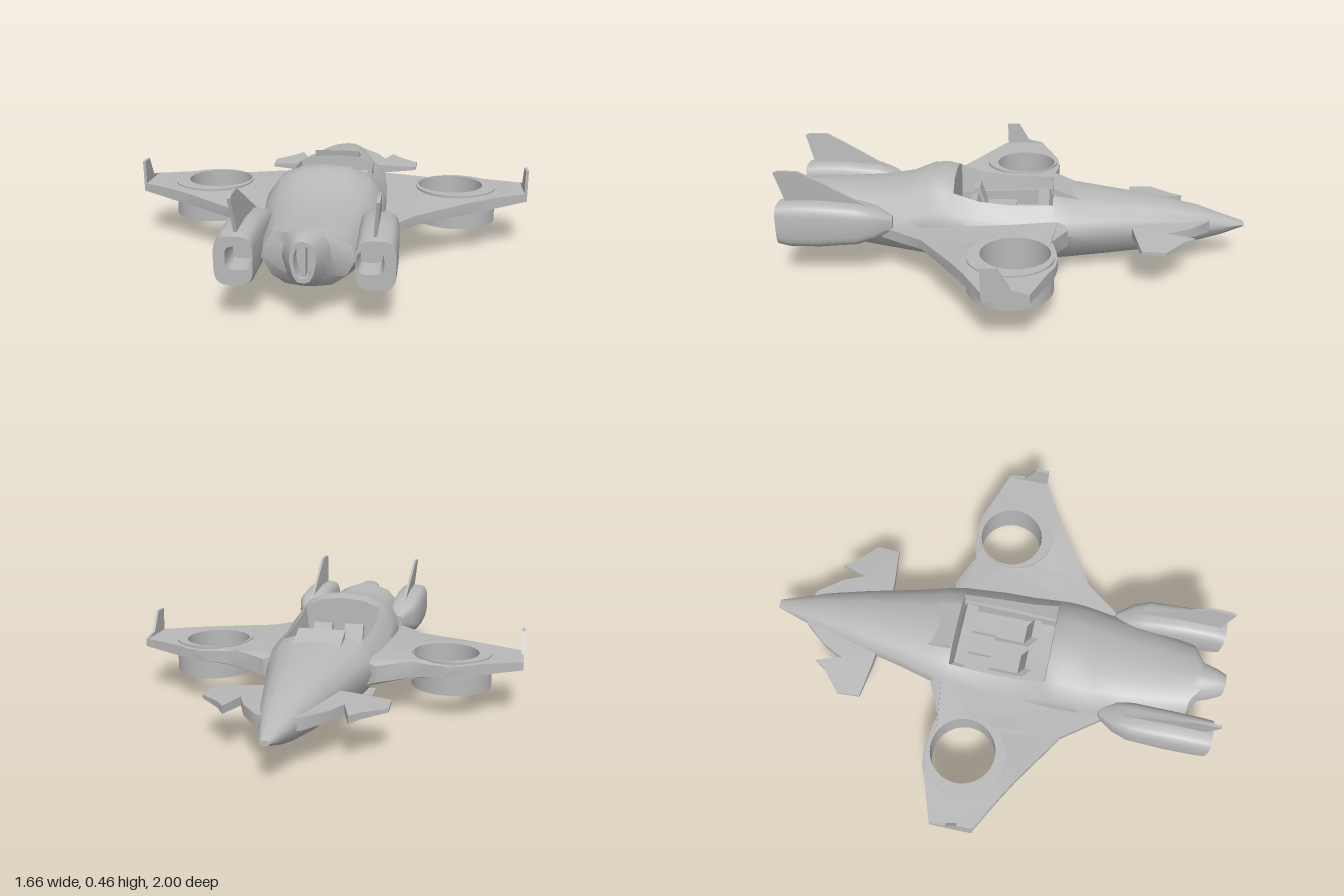
import * as THREE from 'three';
import { toCreasedNormals } from 'three/addons/utils/BufferGeometryUtils.js';

const hullGrey = new THREE.MeshStandardMaterial({ color: 0xb8b8b8 });
hullGrey.name = 'hullGrey';

// Skin a list of closed rings (counterclockwise seen from +z) and cap both ends
function loft(rings) {
  const n = rings[0].length, pos = [], idx = [];
  rings.forEach(r => r.forEach(p => pos.push(...p)));
  for (let i = 0; i < rings.length - 1; i++) {
    for (let j = 0; j < n; j++) {
      const k = (j + 1) % n, a = i * n + j, b = i * n + k;
      idx.push(a, b, b + n, a, b + n, a + n);
    }
  }
  [0, rings.length - 1].forEach(i => {
    const c = pos.length / 3;
    pos.push(...[0, 1, 2].map(d => rings[i].reduce((s, p) => s + p[d], 0) / n));
    for (let j = 0; j < n; j++) {
      const a = i * n + j, b = i * n + (j + 1) % n;
      if (i === 0) idx.push(c, b, a); else idx.push(c, a, b);
    }
  });
  const g = new THREE.BufferGeometry();
  g.setAttribute('position', new THREE.Float32BufferAttribute(pos, 3));
  g.setIndex(idx);
  return g;
}

// Outline in (x, z), with optional round hole; y runs from 0 (bottom) to 1 (top)
function slab(shape, hole) {
  if (hole) shape.holes.push(new THREE.Path().absarc(hole[0], hole[1], hole[2], 0, Math.PI * 2, true));
  return new THREE.ExtrudeGeometry(shape, { depth: 1, bevelEnabled: false, curveSegments: 40 })
    .rotateX(Math.PI / 2).translate(0, 1, 0);
}

// Upright plate with an outline in (z, y), centred on x
function plate(points, x, thick) {
  return new THREE.ExtrudeGeometry(outline(points), { depth: thick, bevelEnabled: false })
    .rotateY(-Math.PI / 2).translate(x + thick / 2, 0, 0);
}

const outline = pts => new THREE.Shape(pts.map(p => new THREE.Vector2(...p)));

// Move every vertex by a rule
function warp(g, rule) {
  const p = g.attributes.position;
  for (let i = 0; i < p.count; i++) p.setXYZ(i, ...rule(p.getX(i), p.getY(i), p.getZ(i)));
  return g;
}

// Mirror in x, swapping corners so faces still point outward
function mirrored(g) {
  const m = g.index ? g.toNonIndexed() : g.clone();
  const p = m.attributes.position;
  for (let i = 0; i < p.count; i += 3) {
    const t = [0, 1, 2].map(k => [-p.getX(i + k), p.getY(i + k), p.getZ(i + k)]);
    p.setXYZ(i, ...t[0]);
    p.setXYZ(i + 1, ...t[2]);
    p.setXYZ(i + 2, ...t[1]);
  }
  return m;
}

// Piecewise linear lookup in [[x, value], ...]
function ramp(table, x) {
  if (x <= table[0][0]) return table[0][1];
  for (let i = 1; i < table.length; i++) {
    const [x0, v0] = table[i - 1], [x1, v1] = table[i];
    if (x <= x1) return v0 + (v1 - v0) * (x - x0) / (x1 - x0);
  }
  return table[table.length - 1][1];
}

// Fuselage ring: half width, bottom, widest height, top; open rings dip to the cockpit floor
function hullRing([z, w, yb, ym, yt, open]) {
  const l = ym - yb, h = yt - ym;
  const half = [
    [0, yb], [0.25 * w, yb + 0.01 * l], [0.5 * w, yb + 0.07 * l], [0.8 * w, yb + 0.4 * l],
    [w, ym], [0.93 * w, ym + 0.42 * h], [0.7 * w, ym + 0.8 * h],
    open ? [0.155, 0.17] : [0.38 * w, ym + 0.96 * h], [0, open ? 0.165 : yt],
  ];
  const other = half.slice(1, -1).reverse().map(([x, y]) => [-x, y]);
  return [...half, ...other].map(([x, y]) => [x, y, z]);
}

// Rounded-square ring for the engines
function boxRing([z, cx, hw, cy, hh]) {
  return Array.from({ length: 24 }, (_, i) => {
    const a = i / 24 * Math.PI * 2, c = Math.cos(a), s = Math.sin(a);
    return [cx + hw * Math.sign(c) * Math.abs(c) ** 0.55, cy + hh * Math.sign(s) * Math.abs(s) ** 0.55, z];
  });
}

export function createModel() {
  const group = new THREE.Group();
  const add = (name, g, crease = 0.7) => {
    const mesh = new THREE.Mesh(toCreasedNormals(g, crease), hullGrey);
    mesh.name = name;
    group.add(mesh);
  };
  const addPair = (name, g, crease) => {
    add(name + 'Left', g, crease);
    add(name + 'Right', mirrored(g), crease);
  };

  // Fuselage with open cockpit, rear hump and hollow tail outlet
  add('fuselage', loft([
    [-1, 0.02, 0.155, 0.165, 0.175], [-0.9, 0.052, 0.12, 0.165, 0.207],
    [-0.8, 0.085, 0.095, 0.17, 0.24], [-0.6, 0.135, 0.06, 0.175, 0.28],
    [-0.4, 0.18, 0.04, 0.18, 0.302], [-0.25, 0.22, 0.028, 0.185, 0.318],
    [-0.17, 0.235, 0.022, 0.19, 0.327], [-0.167, 0.235, 0.022, 0.19, 0.327, true],
    [0, 0.25, 0.015, 0.19, 0.327, true], [0.14, 0.25, 0.015, 0.19, 0.345, true],
    [0.247, 0.25, 0.02, 0.19, 0.39, true], [0.25, 0.25, 0.02, 0.19, 0.392],
    [0.3, 0.25, 0.024, 0.19, 0.404], [0.36, 0.248, 0.031, 0.19, 0.398],
    [0.45, 0.24, 0.045, 0.19, 0.36], [0.6, 0.215, 0.065, 0.2, 0.335],
    [0.75, 0.19, 0.088, 0.2, 0.33], [0.86, 0.165, 0.11, 0.21, 0.333],
    [0.9, 0.085, 0.125, 0.23, 0.338], [0.96, 0.065, 0.15, 0.24, 0.335],
    [1, 0.045, 0.175, 0.25, 0.32], [1, 0.032, 0.19, 0.25, 0.305], [0.94, 0.03, 0.19, 0.25, 0.305],
  ].map(hullRing)));
  add('tailVane', new THREE.BoxGeometry(0.016, 0.11, 0.05).translate(0, 0.248, 0.965));

  // Wings, thick at the root and pinched at the edges, pierced for the lift fans
  const fan = [0.51, -0.03, 0.138];
  const wing = slab(outline([
    [0.15, -0.2], [0.24, -0.235], [0.38, -0.17], [0.44, -0.185], [0.52, -0.195], [0.6, -0.185],
    [0.66, -0.16], [0.83, -0.1], [0.83, 0.075], [0.68, 0.155], [0.58, 0.215], [0.46, 0.295],
    [0.36, 0.36], [0.29, 0.455], [0.22, 0.55], [0.15, 0.55],
  ]), fan);
  addPair('wing', warp(wing, (x, y, z) => {
    const low = ramp([[0.15, 0.08], [0.25, 0.12], [0.4, 0.165], [0.83, 0.205]], x);
    const high = ramp([[0.15, 0.28], [0.25, 0.255], [0.4, 0.237], [0.83, 0.24]], x);
    const pinch = ramp([[-0.23, 0.5], [-0.15, 1], [0.15, 1], [0.36, 0.45], [0.55, 0.3]], z);
    return [x, (low + high) / 2 + (y - 0.5) * (high - low) * pinch, z];
  }));

  // Lift fan ducts
  const ductShape = new THREE.Shape().absarc(0.532, -0.012, 0.17, 0, Math.PI * 2);
  addPair('fanDuct', slab(ductShape, fan).scale(1, 0.145, 1).translate(0, 0.1, 0));

  // Upright wing tip fins
  addPair('wingTipFin', plate([
    [0.08, 0.34], [0.02, 0.34], [-0.03, 0.255], [-0.1, 0.24], [-0.1, 0.205], [0.075, 0.205],
  ], 0.825, 0.012));

  // Forward canards with shoulder notch
  addPair('canard', warp(slab(outline([
    [0.04, -0.85], [0.08, -0.84], [0.16, -0.74], [0.2, -0.65], [0.235, -0.76], [0.27, -0.71],
    [0.36, -0.63], [0.355, -0.53], [0.2, -0.51], [0.05, -0.5],
  ])), (x, y, z) => [x, 0.18 + (y - 0.5) * ramp([[0.1, 0.05], [0.36, 0.014]], x), z]));

  // Engine nacelles with recessed outlets
  addPair('engineNacelle', loft([
    [0.5, 0.22, 0.02, 0.23, 0.03], [0.57, 0.228, 0.06, 0.235, 0.062],
    [0.64, 0.236, 0.072, 0.236, 0.085], [0.8, 0.24, 0.072, 0.235, 0.098],
    [0.93, 0.24, 0.07, 0.233, 0.097], [0.975, 0.24, 0.068, 0.235, 0.087],
    [0.975, 0.222, 0.046, 0.245, 0.042], [0.88, 0.222, 0.038, 0.245, 0.035],
  ].map(boxRing)));

  // Swept tail fins leaning outward
  const tailFin = plate([
    [0.98, 0.455], [0.96, 0.462], [0.88, 0.462], [0.78, 0.41], [0.6, 0.31], [0.94, 0.31],
  ], 0.236, 0.012);
  addPair('tailFin', warp(tailFin, (x, y, z) => [x + (y - 0.33) * 0.08, y, z]));

  // Windscreen lip ahead of the cockpit
  add('windscreenLip', plate([[-0.3, 0.295], [-0.17, 0.35], [-0.18, 0.295]], 0, 0.2));

  // Two seats and an instrument console
  addPair('seatCushion', new THREE.BoxGeometry(0.085, 0.04, 0.13).translate(0.072, 0.188, 0.06));
  addPair('seatBack', new THREE.BoxGeometry(0.085, 0.13, 0.03).rotateX(0.3).translate(0.072, 0.23, 0.15));
  addPair('footRail', new THREE.BoxGeometry(0.015, 0.03, 0.14).translate(0.05, 0.182, -0.07));
  add('console', new THREE.BoxGeometry(0.28, 0.08, 0.05).rotateX(0.3).translate(0, 0.22, -0.14));

  // Thin belly skids
  addPair('bellySkid', new THREE.BoxGeometry(0.12, 0.008, 0.09).rotateZ(0.08).translate(0.13, 0.009, 0.05));
  return group;
}
